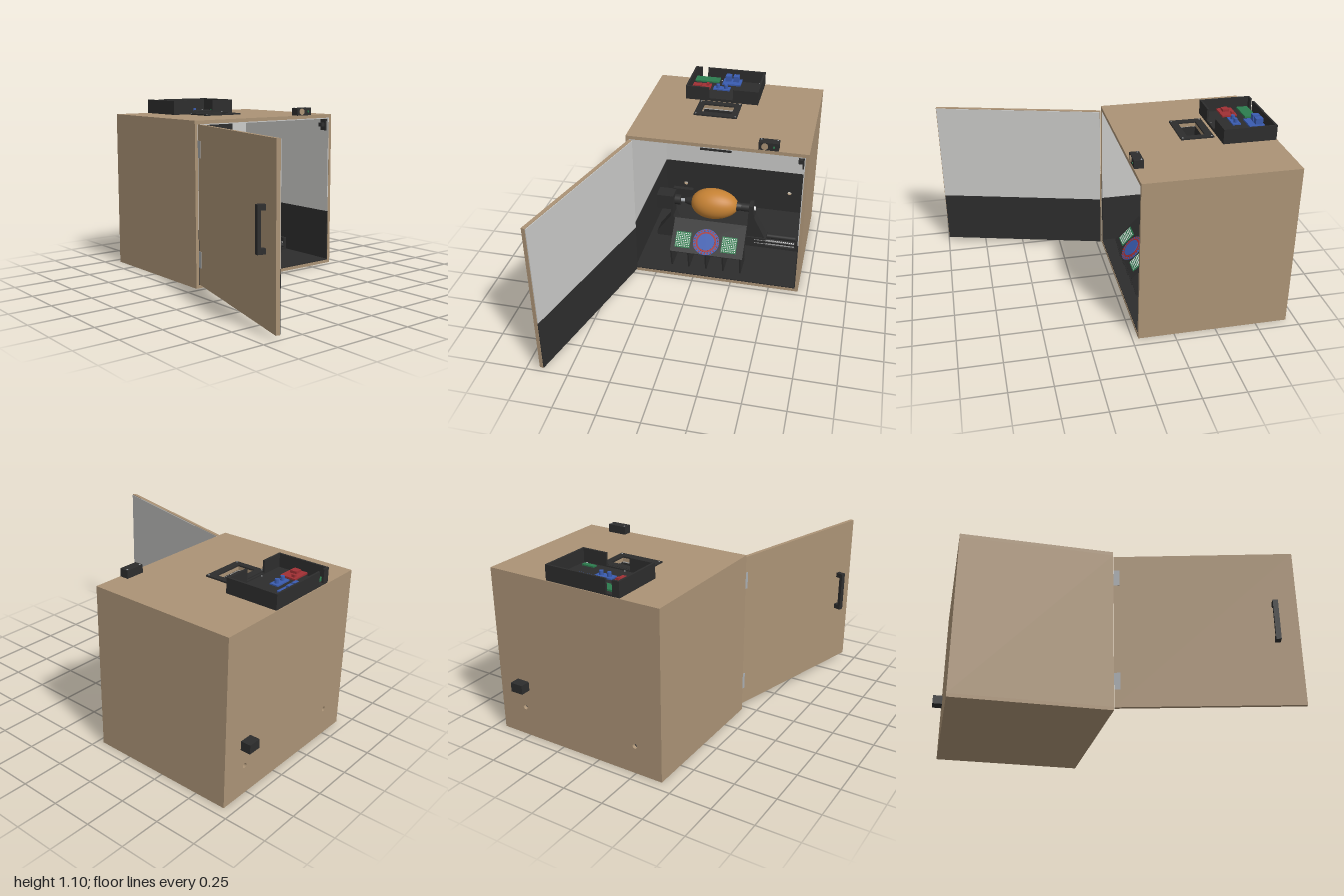
import * as THREE from 'three';
import { mergeGeometries } from 'three/addons/utils/BufferGeometryUtils.js';

const material = (name, color, side = THREE.FrontSide) => {
  const m = new THREE.MeshStandardMaterial({ color, side });
  m.name = name;
  return m;
};

export function createModel() {
  const wood = material('plywood', 0xab9376);
  const black = material('black', 0x2d2d2d);
  const pale = material('paleLining', 0xcacac8);
  const blue = material('blue', 0x3a5cb0);
  const green = material('green', 0x2c7c4e);
  const red = material('red', 0xa03034);
  const orange = material('orange', 0xc68234);
  const metal = material('metal', 0xa8acb0);
  const white = material('white', 0xe4e4e4);

  const model = new THREE.Group();
  model.name = 'scanningCabinet';
  const group = (name, parent = model) => {
    const g = new THREE.Group();
    g.name = name;
    parent.add(g);
    return g;
  };
  const add = (name, geometry, mat, parent = model) => {
    const m = new THREE.Mesh(geometry, mat);
    m.name = name;
    parent.add(m);
    return m;
  };
  const boxGeo = (x0, x1, y0, y1, z0, z1) =>
    new THREE.BoxGeometry(x1 - x0, y1 - y0, z1 - z0).translate((x0 + x1) / 2, (y0 + y1) / 2, (z0 + z1) / 2);
  const box = (name, mat, x0, x1, y0, y1, z0, z1, parent) => add(name, boxGeo(x0, x1, y0, y1, z0, z1), mat, parent);
  // Cylinder along x
  const rod = (name, mat, x0, x1, y, z, r, parent, r2 = r) =>
    add(name, new THREE.CylinderGeometry(r2, r, x1 - x0, 24).rotateZ(-Math.PI / 2).translate((x0 + x1) / 2, y, z), mat, parent);
  // Upright sheet in the xy plane, with round or rectangular holes
  const sheet = (x0, x1, y0, y1, depth, holes) => {
    const rect = (T, a, b, c, d) => new T().moveTo(a, c).lineTo(b, c).lineTo(b, d).lineTo(a, d).closePath();
    const s = rect(THREE.Shape, x0, x1, y0, y1);
    for (const h of holes) {
      s.holes.push(h.length === 3 ? new THREE.Path().absarc(h[0], h[1], h[2], 0, Math.PI * 2, true) : rect(THREE.Path, ...h));
    }
    return new THREE.ExtrudeGeometry(s, { depth, bevelEnabled: false, curveSegments: 16 });
  };
  // Flat sheet from y upward; z limits and holes are given as -z
  const flat = (x0, x1, z0, z1, y, depth, holes) =>
    sheet(x0, x1, z0, z1, depth, holes).rotateX(-Math.PI / 2).translate(0, y, 0);
  // Side profile [z, y] swept along x
  const prism = (points, x0, x1) => {
    const s = new THREE.Shape(points.map(([z, y]) => new THREE.Vector2(-z, y)));
    return new THREE.ExtrudeGeometry(s, { depth: x1 - x0, bevelEnabled: false }).rotateY(Math.PI / 2).translate(x0, 0, 0);
  };

  // Cabinet shell, with cable holes in the back and a camera opening in the roof
  const cabinet = group('cabinet');
  const cableHoles = [[0.52, 0.18, 0.015], [-0.245, 0.17, 0.015]];
  const opening = [-0.035, 0.16, 0.435, 0.545];
  box('floor', wood, -0.415, 0.69, 0, 0.02, -0.94, -0.035, cabinet);
  add('roof', flat(-0.415, 0.69, 0.035, 0.94, 0.985, 0.022, [opening]), wood, cabinet);
  box('leftWall', wood, 0.67, 0.69, 0.02, 0.985, -0.94, -0.035, cabinet);
  box('rightWall', wood, -0.415, -0.395, 0.02, 0.985, -0.94, -0.035, cabinet);
  add('backWall', sheet(-0.395, 0.67, 0.02, 0.985, 0.02, cableHoles).translate(0, 0, -0.94), wood, cabinet);

  // Inner lining, black below and pale above
  const lining = group('lining');
  box('floorLining', black, -0.395, 0.67, 0.02, 0.027, -0.92, -0.037, lining);
  add('ceilingLining', flat(-0.395, 0.67, 0.037, 0.92, 0.979, 0.006, [opening]), pale, lining);
  add('lowerBackLining', sheet(-0.395, 0.67, 0.027, 0.355, 0.006, cableHoles).translate(0, 0, -0.92), black, lining);
  box('upperBackLining', pale, -0.395, 0.67, 0.355, 0.979, -0.92, -0.914, lining);
  for (const [mat, y0, y1] of [[black, 0.027, 0.355], [pale, 0.355, 0.979]]) {
    box('sideLining', mat, -0.395, -0.389, y0, y1, -0.914, -0.037, lining);
    box('sideLining', mat, 0.664, 0.67, y0, y1, -0.914, -0.037, lining);
  }

  // Open door
  const door = group('door');
  door.position.set(-0.383, 0, -0.025);
  door.rotation.y = -Math.atan2(0.27, 1.02);
  box('doorPanel', wood, -0.0135, 0.009, 0.025, 0.985, 0, 1.055, door);
  box('lowerDoorLining', black, 0.009, 0.0135, 0.027, 0.355, 0.003, 1.052, door);
  box('upperDoorLining', pale, 0.009, 0.0135, 0.355, 0.982, 0.003, 1.052, door);
  box('handleBar', black, -0.06, -0.04, 0.405, 0.655, 0.91, 0.94, door);
  for (const y of [0.405, 0.625]) box('handleFoot', black, -0.04, -0.0135, y, y + 0.03, 0.91, 0.94, door);
  for (const y of [0.13, 0.79]) {
    box('hingeLeaf', metal, -0.017, -0.0135, y, y + 0.1, 0, 0.035, door);
  }

  // Control tray on the roof with notched walls
  const tray = group('controlTray');
  box('trayFloor', black, -0.175, 0.3, 1.007, 1.017, -0.935, -0.612, tray);
  for (const x of [-0.175, 0.288]) box('traySide', black, x, x + 0.012, 1.007, 1.097, -0.935, -0.612, tray);
  for (const [x0, x1] of [[-0.163, -0.02], [0.135, 0.288]]) box('trayFront', black, x0, x1, 1.017, 1.097, -0.624, -0.612, tray);
  box('traySill', black, -0.02, 0.135, 1.017, 1.025, -0.624, -0.612, tray);
  for (const [x0, x1] of [[-0.163, -0.13], [-0.09, 0.288]]) box('trayBack', black, x0, x1, 1.017, 1.097, -0.935, -0.923, tray);
  box('mainBoard', green, -0.163, 0, 1.025, 1.035, -0.92, -0.85, tray);
  box('relayBoard', blue, 0.025, 0.148, 1.025, 1.035, -0.922, -0.828, tray);
  for (const x of [0.04, 0.092]) box('relay', blue, x, x + 0.038, 1.035, 1.072, -0.915, -0.87, tray);
  box('driverBoard', red, -0.163, -0.04, 1.025, 1.035, -0.812, -0.718, tray);
  box('driverChip', red, -0.145, -0.1, 1.035, 1.05, -0.78, -0.74, tray);
  box('driverTrim', red, -0.072, -0.055, 1.035, 1.05, -0.8, -0.78, tray);
  box('converterBoard', blue, -0.02, 0.09, 1.025, 1.033, -0.792, -0.74, tray);
  for (const x of [0.01, 0.062]) {
    add('capacitor', new THREE.CylinderGeometry(0.012, 0.012, 0.025, 16).translate(x, 1.045, -0.766), blue, tray);
  }
  box('smallBoard', green, 0.17, 0.25, 1.025, 1.033, -0.692, -0.665, tray);
  const screw = (x, y, z, parent) => add('screw', new THREE.CylinderGeometry(0.005, 0.005, 0.003, 10).translate(x, y, z), metal, parent);
  for (const x of [0.01, 0.265]) for (const z of [-0.915, -0.63]) screw(x, 1.018, z, tray);

  // Camera frame and the well hanging below it
  const camera = group('cameraUnit');
  add('cameraFrame', flat(-0.075, 0.2, 0.39, 0.59, 1.007, 0.009, [opening]), black, camera);
  for (const x of [-0.063, 0.188]) for (const z of [-0.578, -0.402]) screw(x, 1.016, z, camera);
  for (const z of [-0.551, -0.435]) box('wellWall', black, -0.041, 0.166, 0.74, 0.985, z, z + 0.006, camera);
  for (const x of [-0.041, 0.16]) box('wellSide', black, x, x + 0.006, 0.74, 0.985, -0.545, -0.435, camera);
  box('wellFloor', black, -0.035, 0.16, 0.74, 0.75, -0.545, -0.435, camera);
  box('cameraBoard', blue, 0.055, 0.15, 0.75, 0.77, -0.54, -0.44, camera);
  add('cameraLens', new THREE.CylinderGeometry(0.035, 0.035, 0.03, 24).translate(0.02, 0.765, -0.49), black, camera);
  add('cameraGlass', new THREE.CylinderGeometry(0.016, 0.016, 0.004, 20).translate(0.02, 0.782, -0.49), green, camera);

  // Switch box at the front of the roof
  const disc = (name, mat, x, y, z, r, parent) =>
    add(name, new THREE.CylinderGeometry(r, r, 0.006, 24).rotateX(Math.PI / 2).translate(x, y, z), mat, parent);
  box('switchBox', black, 0.39, 0.51, 1.007, 1.055, -0.092, -0.037);
  disc('switchKnob', wood, 0.427, 1.031, -0.035, 0.02);
  disc('switchLamp', green, 0.482, 1.031, -0.035, 0.006);
  for (const x of [0.402, 0.498]) screw(x, 1.056, -0.08, model);

  // Power inlet on the back, door sensor inside
  box('powerInlet', black, 0.48, 0.56, 0.3, 0.355, -1, -0.94);
  box('sensorPlate', black, 0.653, 0.664, 0.9, 0.975, -0.1, -0.05);
  box('sensorTip', black, 0.627, 0.653, 0.925, 0.95, -0.09, -0.06);

  // Sloping lamp panel on fins
  const lamp = group('lampStand');
  add('lampWedge', prism([[-0.08, 0.16], [-0.24, 0.32], [-0.26, 0.32], [-0.26, 0.3], [-0.13, 0.16]], -0.165, 0.315), black, lamp);
  for (let i = 0; i < 5; i++) {
    const x = -0.163 + i * 0.1145;
    add('lampFin', prism([[-0.08, 0.16], [-0.25, 0.31], [-0.25, 0.027], [-0.11, 0.027]], x, x + 0.01), black, lamp);
  }
  box('lampBackBar', black, -0.163, 0.305, 0.027, 0.05, -0.26, -0.25, lamp);
  const face = group('lampFace', lamp);
  face.position.set(0.065, 0.24, -0.16);
  face.rotation.x = -Math.PI / 4;
  for (const s of [-1, 1]) {
    const cx = s * 0.153;
    box('lampArray', green, cx - 0.05, cx + 0.05, -0.083, 0.023, 0, 0.005, face);
    const dots = [];
    for (let i = 0; i < 8; i++) {
      for (let j = 0; j < 8; j++) {
        const x = cx - 0.042 + i * 0.012, y = -0.072 + j * 0.012;
        dots.push(boxGeo(x - 0.003, x + 0.003, y - 0.003, y + 0.003, 0.005, 0.008));
      }
    }
    add('lampDots', mergeGeometries(dots), white, face);
  }
  const ringY = -0.028;
  [[0.087, blue], [0.068, red], [0.056, blue]].forEach(([r, mat], i) =>
    disc('lampRing', mat, 0, ringY, 0.002 + i * 0.003, r, face));
  const beads = [];
  for (let i = 0; i < 24; i++) {
    const a = (i / 24) * Math.PI * 2, x = Math.cos(a) * 0.078, y = ringY + Math.sin(a) * 0.078;
    beads.push(boxGeo(x - 0.005, x + 0.005, y - 0.005, y + 0.005, 0.005, 0.008));
  }
  add('ringBeads', mergeGeometries(beads), red, face);

  // Fruit held between the spindles
  const Z = -0.48, Y = 0.305;
  const profile = [];
  for (let i = 0; i <= 24; i++) {
    const t = (i / 24) * Math.PI;
    profile.push(new THREE.Vector2(Math.max(0, 0.105 * Math.sin(t) * (1 + 0.08 * Math.cos(t))), -0.163 * Math.cos(t)));
  }
  add('fruit', new THREE.LatheGeometry(profile, 40).rotateZ(-Math.PI / 2).translate(0.055, Y, Z), orange);

  // Motor side: tapered stand, motor, chuck and arm
  const taper = (points, z, depth) => new THREE.ExtrudeGeometry(
    new THREE.Shape(points.map(p => new THREE.Vector2(...p))), { depth, bevelEnabled: false }).translate(0, 0, z);
  const drive = group('motorStand');
  add('standPlate', taper([[-0.34, 0.027], [-0.17, 0.027], [-0.17, 0.06], [-0.225, 0.2], [-0.225, 0.355], [-0.24, 0.355], [-0.24, 0.2], [-0.34, 0.06]], Z - 0.05, 0.1), black, drive);
  box('motor', black, -0.34, -0.24, 0.25, 0.355, Z - 0.052, Z + 0.052, drive);
  rod('motorShaft', metal, -0.225, -0.14, Y, Z, 0.012, drive);
  rod('chuck', black, -0.22, -0.18, Y, Z, 0.035, drive);
  rod('cup', black, -0.15, -0.095, Y, Z, 0.018, drive, 0.035);
  box('armBar', black, -0.24, -0.105, 0.365, 0.373, Z - 0.06, Z - 0.03, drive);
  box('armTip', black, -0.113, -0.105, 0.35, 0.365, Z - 0.06, Z - 0.03, drive);

  // Sliding tailstock
  const tail = group('tailstock');
  add('tailPost', taper([[0.285, 0.1], [0.41, 0.1], [0.335, 0.25], [0.32, 0.34], [0.295, 0.34]], Z - 0.04, 0.08), black, tail);
  rod('tailCup', black, 0.2, 0.26, Y, Z, 0.035, tail, 0.018);
  rod('tailSpindle', black, 0.24, 0.315, Y, Z, 0.028, tail);
  rod('tailTip', white, 0.315, 0.337, Y, Z, 0.014, tail);
  box('carriage', black, 0.27, 0.42, 0.045, 0.1, Z - 0.05, Z + 0.05, tail);

  // Slide rail with its two screws
  const rail = group('slideRail');
  box('railBase', black, 0.06, 0.64, 0.027, 0.045, Z - 0.05, Z + 0.05, rail);
  for (const x of [0.06, 0.62]) box('railEnd', black, x, x + 0.022, 0.027, 0.115, Z - 0.05, Z + 0.05, rail);
  for (const z of [Z - 0.03, Z + 0.03]) rod('guideRod', black, 0.08, 0.62, 0.072, z, 0.017, rail);
  const marks = [];
  for (let i = 0; i < 20; i++) {
    const x = 0.345 + i * 0.0138;
    for (const y of [0.06, 0.085]) marks.push(boxGeo(x, x + 0.007, y - 0.002, y + 0.002, Z + 0.04, Z + 0.053));
  }
  add('rodThread', mergeGeometries(marks), white, rail);

  return model;
}
